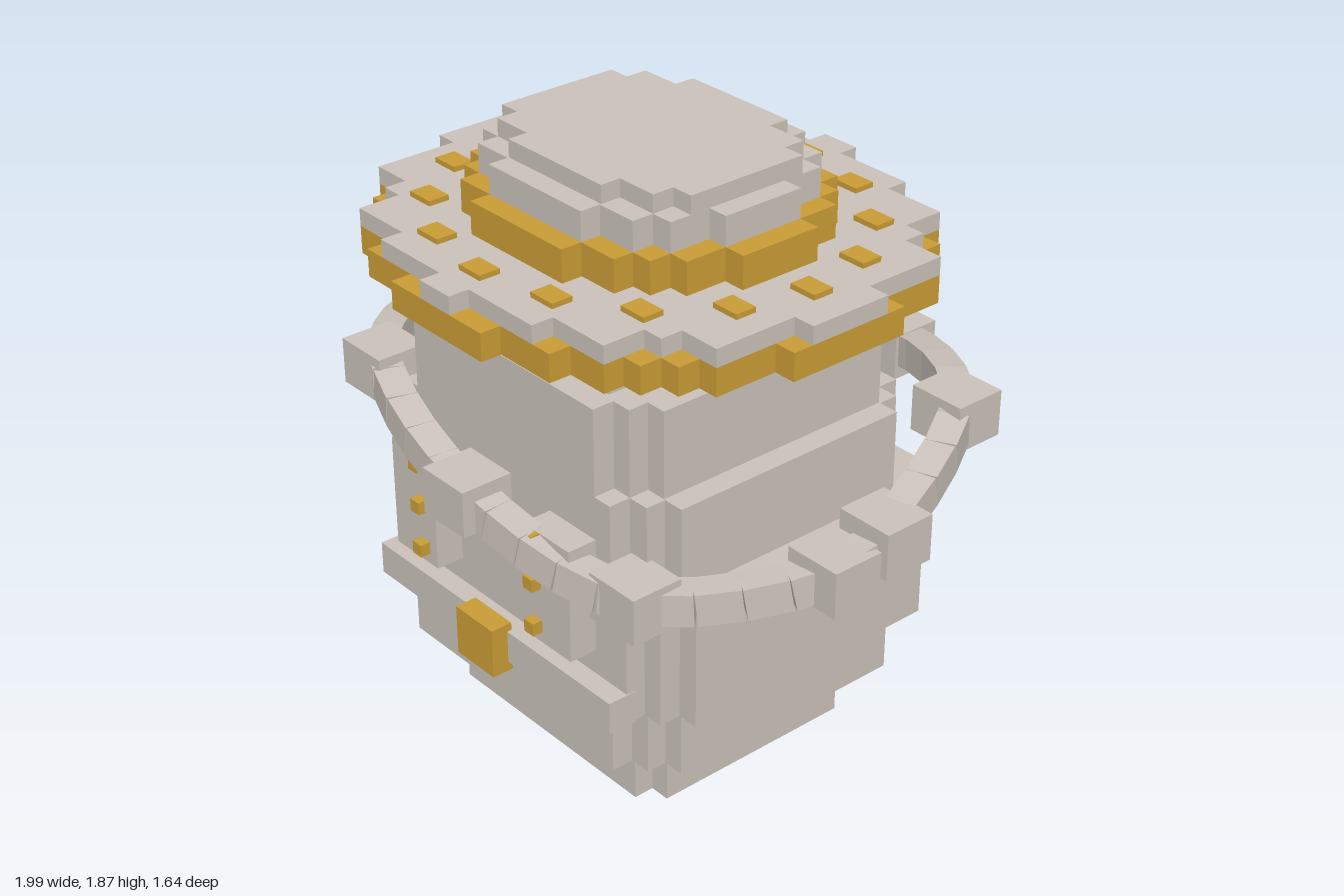
import * as THREE from 'three';

const stone = new THREE.MeshStandardMaterial({ color: 0xc9c1b9 });
stone.name = 'warm grey';
const gold = new THREE.MeshStandardMaterial({ color: 0xc99b35 });
gold.name = 'gold';

const CX = -0.013, CZ = 0.065;

export function createModel() {
  const model = new THREE.Group();
  model.name = 'blockFigure';

  function add(geometry, name, material, parent = model) {
    const mesh = new THREE.Mesh(geometry, material);
    mesh.name = name;
    parent.add(mesh);
    return mesh;
  }

  function box(name, material, x0, x1, y0, y1, z0, z1, parent) {
    const mesh = add(new THREE.BoxGeometry(x1 - x0, y1 - y0, z1 - z0), name, material, parent);
    mesh.position.set((x0 + x1) / 2, (y0 + y1) / 2, (z0 + z1) / 2);
    return mesh;
  }

  // Slab with stair-stepped corners; steps are [halfX, halfZ] from widest to deepest
  function slab(name, material, y0, y1, steps, cz = CZ) {
    const quarter = [];
    steps.forEach(([x, z], i) => {
      if (i) quarter.push([x, steps[i - 1][1]]);
      quarter.push([x, z]);
    });
    const back = [...quarter].reverse();
    const outline = [
      ...quarter,
      ...back.map(([x, z]) => [-x, z]),
      ...quarter.map(([x, z]) => [-x, -z]),
      ...back.map(([x, z]) => [x, -z]),
    ].map(([x, z]) => new THREE.Vector2(x, z));
    const geometry = new THREE.ExtrudeGeometry(new THREE.Shape(outline), { depth: y1 - y0, bevelEnabled: false });
    geometry.rotateX(-Math.PI / 2);
    const mesh = add(geometry, name, material);
    mesh.position.set(CX, y0, cz);
    return mesh;
  }

  // Body tiers
  slab('base', stone, 0, 0.205, [[0.47, 0.34], [0.405, 0.405]]);
  slab('lowerBody', stone, 0.205, 0.41, [[0.607, 0.405], [0.54, 0.47], [0.47, 0.54]]);
  slab('waist', stone, 0.41, 0.815, [[0.675, 0.44], [0.607, 0.51], [0.54, 0.575]], 0.035);
  slab('chest', stone, 0.815, 1.085, [[0.607, 0.405], [0.54, 0.47], [0.47, 0.54]]);
  slab('shoulders', stone, 1.085, 1.355, [[0.535, 0.405], [0.47, 0.47], [0.405, 0.54]]);
  slab('head', stone, 1.355, 1.485, [[0.53, 0.2], [0.47, 0.27], [0.405, 0.335]]);

  // Uneven fringe under the brim: [left, right, bottom]
  const fringe = [[-0.455, -0.32, 1.39], [-0.32, -0.2, 1.41], [-0.2, -0.08, 1.46],
    [-0.08, 0.05, 1.365], [0.05, 0.32, 1.43], [0.32, 0.405, 1.39]];
  for (const [x0, x1, y] of fringe) box('fringe', stone, x0, x1, y, 1.485, 0.39, 0.56);
  for (const s of [-1, 1]) {
    box('sideFringe', stone, CX + s * 0.55 - 0.03, CX + s * 0.55 + 0.03, 1.46, 1.485, -0.135, 0.205);
  }

  // Front flap and buckle
  box('frontFlap', stone, -0.555, 0.53, 0.405, 0.51, 0.58, 0.675);
  box('buckle', gold, -0.1, 0.07, 0.375, 0.535, 0.66, 0.73);

  // Chest straps with buttons
  for (const [x0, x1, bx] of [[-0.425, -0.225, -0.28], [0.195, 0.395, 0.25]]) {
    const strap = new THREE.Group();
    strap.name = 'chestStrap';
    model.add(strap);
    box('strapPanel', stone, x0, x1, 0.59, 0.95, 0.59, 0.7, strap);
    for (const y of [0.645, 0.79, 0.93]) {
      box('button', gold, bx - 0.02, bx + 0.02, y - 0.02, y + 0.02, 0.69, 0.733, strap);
    }
  }

  // Hat brim: gold underside, grey top with gold corners left showing
  slab('brimTrim', gold, 1.485, 1.57,
    [[0.81, 0.2], [0.74, 0.405], [0.675, 0.475], [0.607, 0.545], [0.54, 0.61], [0.405, 0.68], [0.2, 0.745]]);
  slab('brimTop', stone, 1.57, 1.625,
    [[0.81, 0.135], [0.74, 0.405], [0.607, 0.475], [0.54, 0.61], [0.335, 0.68], [0.065, 0.745]]);

  // Hat crown and band
  slab('hatBand', gold, 1.625, 1.725, [[0.54, 0.135], [0.47, 0.27], [0.405, 0.34], [0.335, 0.405], [0.2, 0.472]]);
  slab('crown', stone, 1.725, 1.815, [[0.47, 0.135], [0.405, 0.27], [0.335, 0.34], [0.2, 0.405]]);
  slab('crownTop', stone, 1.815, 1.87, [[0.405, 0.2], [0.335, 0.27], [0.2, 0.335]]);

  // Studs around the brim
  for (let i = 0; i < 16; i++) {
    const a = (i * Math.PI) / 8;
    const stud = add(new THREE.BoxGeometry(0.092, 0.03, 0.068), 'brimStud', gold);
    stud.position.set(CX + 0.66 * Math.cos(a), 1.626, CZ + 0.595 * Math.sin(a));
  }

  // Wavy necklace: large blocks joined by short links
  const beads = [
    [-0.01, 0.965, 0.735], [0.555, 0.84, 0.6], [0.88, 0.905, 0.175], [0.9, 0.965, 0.005],
    [0.7, 1.09, -0.47], [0.19, 1.02, -0.735], [-0.41, 0.865, -0.68], [-0.84, 0.86, -0.33],
    [-0.907, 1.02, 0.175], [-0.585, 1.092, 0.6],
  ].map((p) => new THREE.Vector3(...p));
  const necklace = new THREE.Group();
  necklace.name = 'necklace';
  model.add(necklace);
  for (const p of beads) {
    add(new THREE.BoxGeometry(0.185, 0.145, 0.167), 'necklaceBlock', stone, necklace).position.copy(p);
  }
  const path = new THREE.CatmullRomCurve3(beads, true);
  const links = 42;
  const length = path.getLength() / links;
  for (let i = 0; i < links; i++) {
    const u = (i + 0.5) / links;
    const p = path.getPointAt(u);
    const link = add(new THREE.BoxGeometry(0.092, 0.1, length), 'necklaceLink', stone, necklace);
    link.position.copy(p);
    link.lookAt(p.clone().add(path.getTangentAt(u)));
  }

  return model;
}
